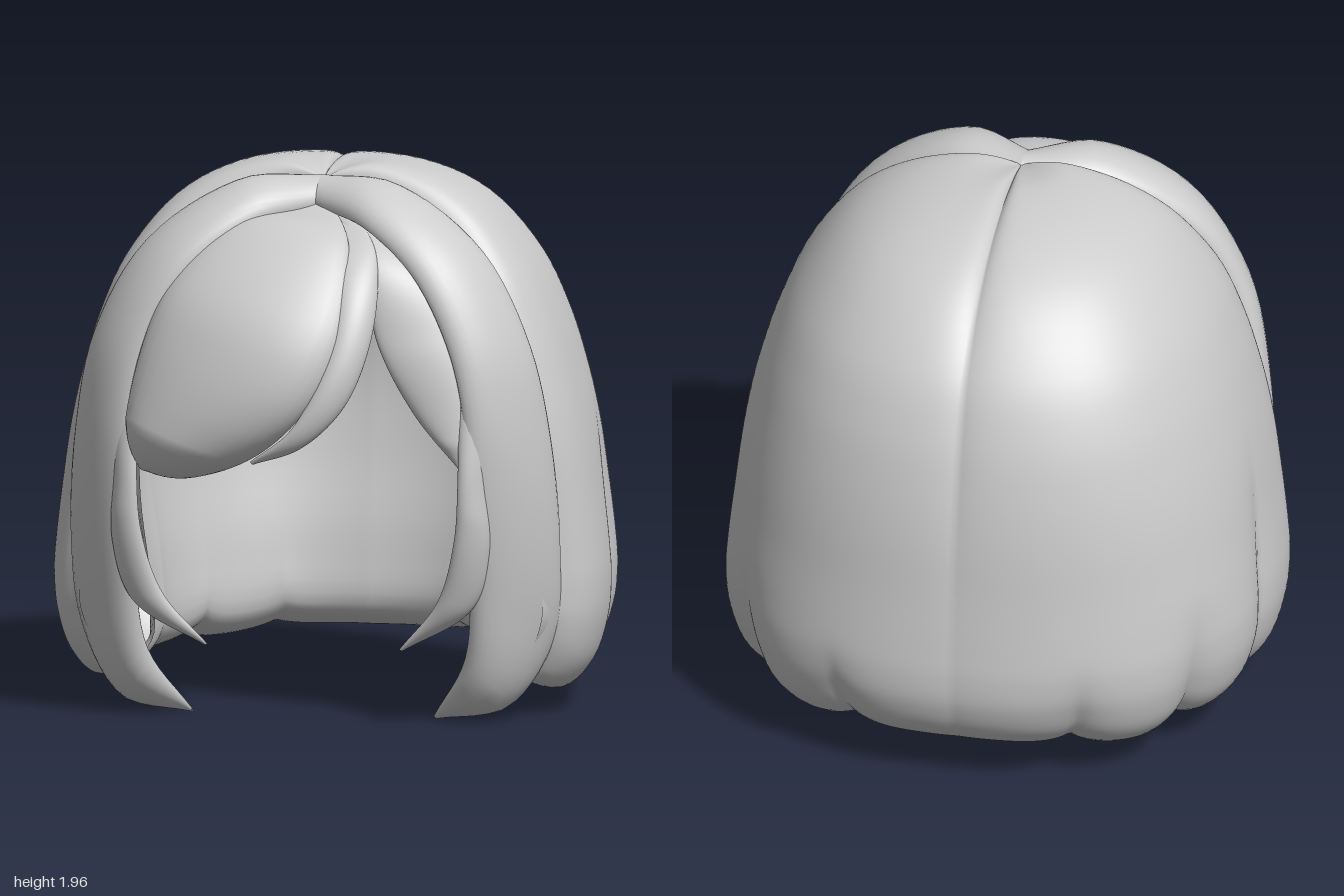
import * as THREE from 'three';
import { mergeVertices } from 'three/addons/utils/BufferGeometryUtils.js';

const V = (p) => new THREE.Vector3(...p);
const curve = (pts) => new THREE.CatmullRomCurve3(pts.map(V), false, 'centripetal');
const smooth = THREE.MathUtils.smoothstep;
const DEG = Math.PI / 180;

// Smooth surface from rows (running down) and columns (left to right seen from outside)
function surface(rows, cols, at) {
  const pos = [], index = [];
  for (let i = 0; i <= rows; i++)
    for (let j = 0; j <= cols; j++) pos.push(...at(i / rows, j / cols));
  for (let i = 0; i < rows; i++)
    for (let j = 0; j < cols; j++) {
      const a = i * (cols + 1) + j, b = a + cols + 1;
      index.push(a, b, a + 1, b, b + 1, a + 1);
    }
  let g = new THREE.BufferGeometry();
  g.setAttribute('position', new THREE.Float32BufferAttribute(pos, 3));
  g.setIndex(index);
  g = mergeVertices(g, 1e-5);
  g.computeVertexNormals();
  return g;
}

// Lock of hair: padded strip between two edge curves, bulging outward.
// tuck is the share of its length over which the padding grows from the root.
function lock(left, right, bulge, back, tuck = 0) {
  const L = curve(left), R = curve(right), n = new THREE.Vector3(0, 0, 1);
  const mid = (t) => L.getPoint(t).lerp(R.getPoint(t), 0.5);
  return surface(48, 32, (t, s) => {
    const l = L.getPoint(t), across = R.getPoint(t).sub(l), width = across.length();
    const down = mid(Math.min(1, t + 0.01)).sub(mid(Math.max(0, t - 0.01)));
    const c = down.cross(across);
    if (c.length() > 1e-7) n.copy(c).normalize();
    const a = s * Math.PI * 2;
    const root = tuck ? 0.1 + 0.9 * smooth(t, 0, tuck) : 1;
    const pad = Math.sin(a) * Math.min(1, width / (bulge * 3)) * root;
    return l.addScaledVector(across, (1 - Math.cos(a)) / 2)
      .addScaledVector(n, pad * (pad > 0 ? bulge : back)).toArray();
  });
}

const mirrored = (pts) => pts.map(([x, y, z]) => [-x, y, z]);

// Cap meridian (radius, height): crown, outside, thick hem, then up the inside
const capProfile = curve([
  [0, 1.92], [0.08, 1.955], [0.18, 1.972], [0.38, 1.93], [0.57, 1.82], [0.74, 1.61],
  [0.835, 1.4], [0.895, 1.2], [0.94, 1.0], [0.972, 0.8], [1.0, 0.6], [1.01, 0.48],
  [1.0, 0.33], [0.95, 0.17], [0.86, 0.08], [0.74, 0.1], [0.66, 0.17], [0.66, 0.45],
  [0.71, 0.8], [0.72, 1.1], [0.67, 1.4], [0.5, 1.68], [0.2, 1.82], [0, 1.85],
].map(([r, y]) => [r, y, 0]));

// Grooves between the cap's lobes: angle from the front, depth, height they fade out at
const grooves = [[102, 0.055, 1.2], [128, 0.05, 0.75], [154, 0.035, 0.6]];

function capPoint(v, u) {
  const p = capProfile.getPoint(v);
  // The open front is a little wider low down
  const low = 1 - smooth(p.y, 0.4, 1.2), start = 56 + 7 * low;
  const deg = start + u * (360 - 2 * start), a = deg * DEG;
  const side = deg > 180 ? 360 - deg : deg;
  const inside = smooth(v, 0.62, 0.72);
  // Sunken front edge running beneath the side locks, and the parting
  let notch = 0.1 * Math.exp(-Math.max(0, side - 66 - 5 * low) / 5.5);
  let g = notch + 0.035 * Math.exp(-(180 - side) / 5) * (0.25 + 0.75 * smooth(p.y, 0.6, 1.6));
  for (const [at, depth, top] of grooves) {
    const k = depth * Math.exp(-Math.abs(side - at) / 5.5);
    g += k * (1 - smooth(p.y, top * 0.35, top));
    notch += k;
  }
  g *= 1 - 0.8 * inside;
  const n = 2.4, sx = Math.sin(a), cz = Math.cos(a);
  const rho = (Math.abs(sx) ** n + Math.abs(cz) ** n) ** (-1 / n);
  const r = p.x * rho * (1 - g);
  const hem = 1 - smooth(p.y, 0.08, 0.5);
  const y = p.y - g * 0.9 * smooth(p.y, 1.5, 1.9) * Math.min(1, p.x / 0.15)
    + hem * (notch * 1.1 + 0.03 * smooth(side, 98, 112) + 0.045 * smooth(side, 130, 175));
  // The back of the head is slightly fuller high up
  const full = 1 + 0.08 * smooth(p.y, 0.5, 1.7) * smooth(-cz, 0, 0.8)
    + 0.015 * smooth(-cz, 0, 0.8);
  return [r * sx, y, 0.22 * Math.exp(-2 * p.x) + r * cz * full];
}

// Edges of the left side lock: front edge, then back edge
const sideFront = [[0, 1.84, 0.37], [0.2, 1.8, 0.53], [0.4, 1.65, 0.64], [0.54, 1.4, 0.69],
  [0.6, 1.15, 0.7], [0.6, 0.9, 0.68], [0.61, 0.55, 0.62], [0.58, 0.25, 0.55], [0.44, 0.02, 0.42]];
const sideBack = [[0, 1.9, 0.19], [0.3, 1.86, 0.25], [0.6, 1.66, 0.34], [0.77, 1.35, 0.38],
  [0.84, 1.0, 0.35], [0.87, 0.6, 0.32], [0.84, 0.3, 0.27], [0.7, 0.08, 0.31], [0.44, 0.01, 0.4]];
const wispFront = [[0.58, 1.2, 0.68], [0.585, 0.9, 0.72], [0.57, 0.7, 0.71], [0.5, 0.47, 0.66],
  [0.35, 0.285, 0.6]];
const wispBack = [[0.68, 1.2, 0.6], [0.67, 0.9, 0.64], [0.68, 0.65, 0.62], [0.62, 0.45, 0.6],
  [0.36, 0.28, 0.59]];

export function createModel() {
  const group = new THREE.Group();
  const hair = new THREE.MeshStandardMaterial({ color: 0xcccccc, side: THREE.DoubleSide });
  hair.name = 'light grey';
  const add = (name, geometry) => {
    const mesh = new THREE.Mesh(geometry, hair);
    mesh.name = name;
    group.add(mesh);
  };

  add('hairCap', surface(110, 212, capPoint));

  // Side locks and the wisps in front of them
  add('leftSideLock', lock(sideFront, sideBack, 0.095, 0.03));
  add('rightSideLock', lock(mirrored(sideBack), mirrored(sideFront), 0.095, 0.03));
  add('leftWisp', lock(wispFront, wispBack, 0.045, 0.02));
  add('rightWisp', lock(mirrored(wispBack), mirrored(wispFront), 0.045, 0.02));

  // Fringe swept to the right, its roots tucked under the side locks
  add('sweptFringe', lock(
    [[-0.1, 1.84, 0.36], [-0.3, 1.77, 0.5], [-0.5, 1.55, 0.6], [-0.6, 1.22, 0.68],
      [-0.61, 1.05, 0.7], [-0.58, 0.94, 0.7]],
    [[0.06, 1.85, 0.36], [0.17, 1.74, 0.62], [0.19, 1.45, 0.83], [0.08, 1.2, 0.91],
      [-0.12, 1.01, 0.87], [-0.38, 0.91, 0.77], [-0.56, 0.92, 0.7]], 0.16, 0.02, 0.45));
  add('narrowFringe', lock(
    [[0.02, 1.82, 0.38], [0.14, 1.64, 0.71], [0.13, 1.35, 0.88], [0.02, 1.12, 0.92],
      [-0.14, 0.99, 0.87]],
    [[0.12, 1.84, 0.36], [0.27, 1.71, 0.62], [0.285, 1.45, 0.77], [0.2, 1.2, 0.85],
      [0.05, 1.05, 0.88], [-0.13, 0.98, 0.86]], 0.07, 0.03, 0.4));
  add('leftFringe', lock(
    [[0.04, 1.82, 0.36], [0.22, 1.67, 0.64], [0.29, 1.4, 0.7], [0.42, 1.15, 0.69], [0.585, 0.95, 0.68]],
    [[0.1, 1.83, 0.32], [0.42, 1.65, 0.57], [0.56, 1.4, 0.64], [0.61, 1.15, 0.67], [0.6, 0.94, 0.67]],
    0.035, 0.02));
  return group;
}
